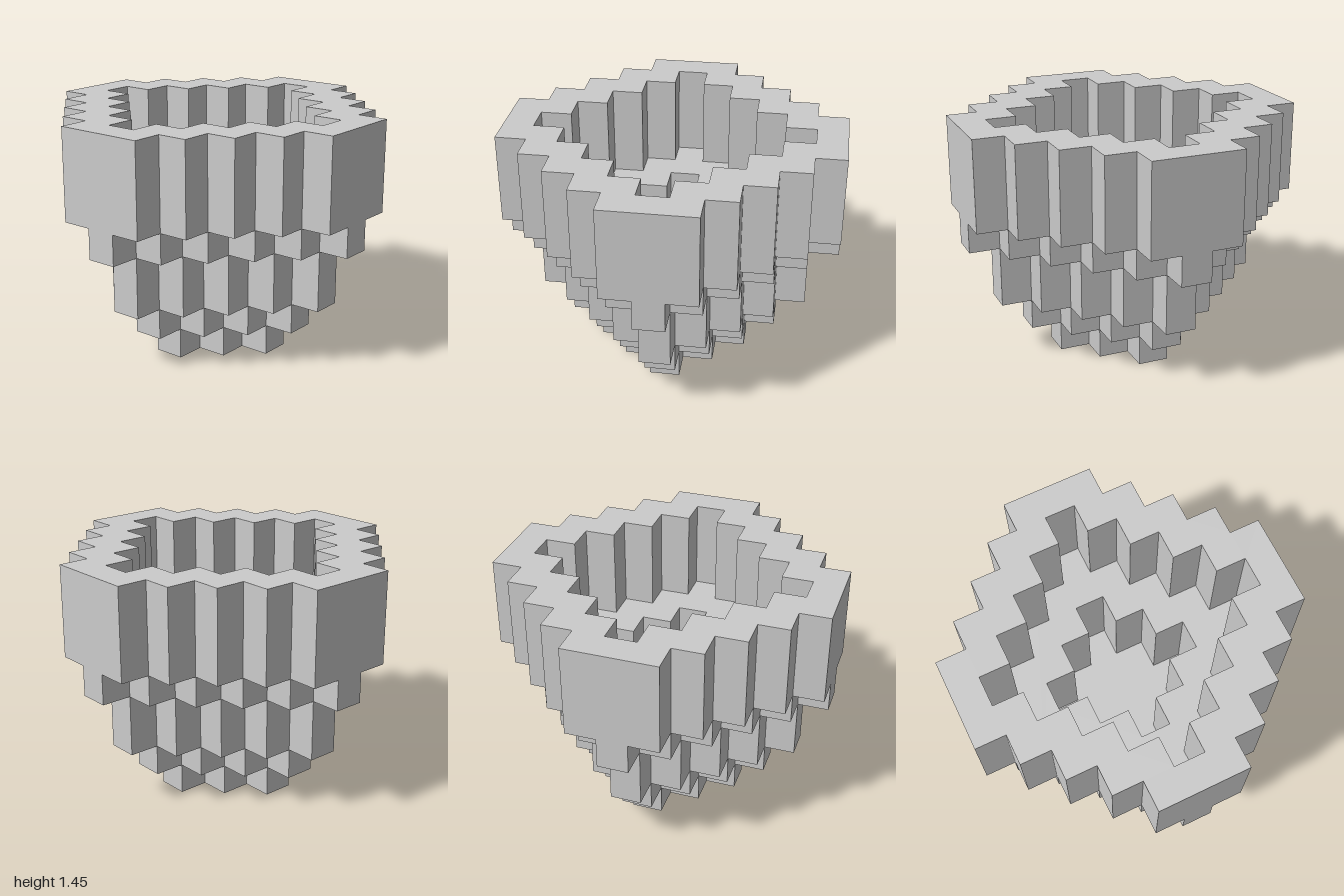
import * as THREE from 'three';

const U = 2 / 11; // one block

// Stepped diamond outline of radius n blocks, its tips cut off at m blocks
function steppedDiamond(n, m = n) {
  const quarter = [];
  for (let j = n - m; j <= m; j++) {
    quarter.push([n - j + 0.5, j + 0.5]);
    if (j < m) quarter.push([n - j - 0.5, j + 0.5]);
  }
  const points = [];
  for (let q = 0; q < 4; q++) {
    const c = [1, 0, -1, 0][q], s = [0, 1, 0, -1][q];
    for (const [x, y] of quarter) {
      points.push(new THREE.Vector2((x * c - y * s) * U, (x * s + y * c) * U));
    }
  }
  return points;
}

export function createModel() {
  const pot = new THREE.Group();
  pot.name = 'blockPot';
  const material = new THREE.MeshStandardMaterial({ color: 0xcccccc, flatShading: true });

  // Tiers from the foot up: bottom and top in blocks, outline, optional cavity
  const tiers = [
    { name: 'foot', from: 0, to: 1, outline: steppedDiamond(2) },
    { name: 'floorTier', from: 1, to: 2, outline: steppedDiamond(3) },
    { name: 'bodyTier', from: 2, to: 4, outline: steppedDiamond(4), cavity: steppedDiamond(2) },
    { name: 'shoulderTier', from: 4, to: 5, outline: steppedDiamond(5), cavity: steppedDiamond(2) },
    { name: 'rimWall', from: 5, to: 8, outline: steppedDiamond(6, 5), cavity: steppedDiamond(4) },
  ];

  for (const { name, from, to, outline, cavity } of tiers) {
    const shape = new THREE.Shape(outline);
    if (cavity) shape.holes.push(new THREE.Path(cavity));
    const geometry = new THREE.ExtrudeGeometry(shape, { depth: (to - from) * U, bevelEnabled: false });
    geometry.rotateX(-Math.PI / 2);
    const mesh = new THREE.Mesh(geometry, material);
    mesh.name = name;
    mesh.position.y = from * U;
    pot.add(mesh);
  }
  return pot;
}
